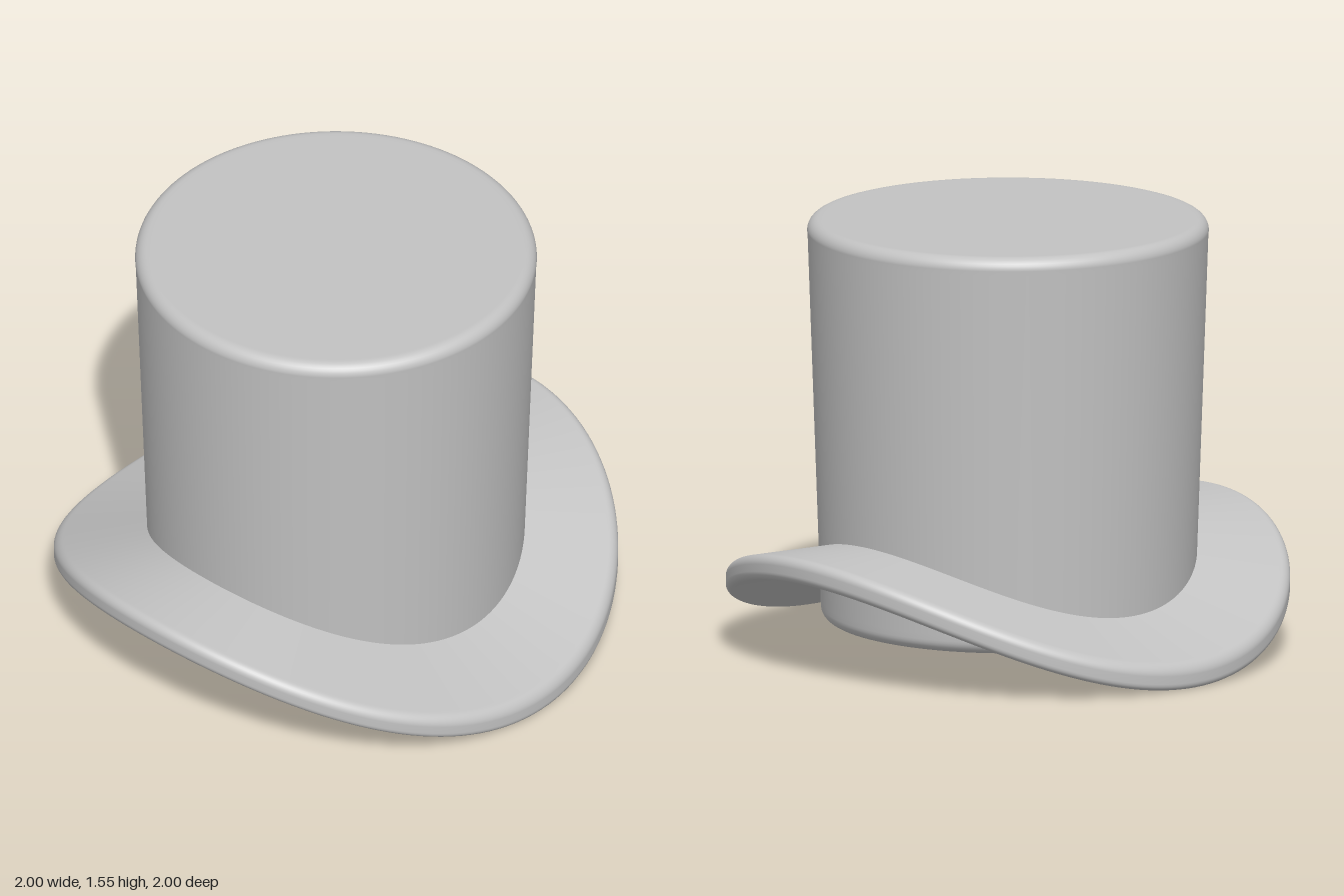
import * as THREE from 'three';
import { mergeVertices } from 'three/addons/utils/BufferGeometryUtils.js';

const felt = new THREE.MeshStandardMaterial({ color: 0xc2c2c2 });
felt.name = 'grey felt';

// Quarter-circle of profile points between two angles (radians)
function fillet(cx, cy, r, from, to, steps = 8) {
  return Array.from({ length: steps + 1 }, (_, i) => {
    const a = from + ((to - from) * i) / steps;
    return new THREE.Vector2(cx + r * Math.cos(a), cy + r * Math.sin(a));
  });
}

// Tall crown, slightly wider at the top, closed at both ends
function makeCrown() {
  const r = 0.045, bottom = 0.115, top = 1.562;
  const profile = [
    new THREE.Vector2(0, bottom),
    new THREE.Vector2(0.61, bottom),
    ...fillet(0.663 - r, bottom + r, r, -Math.PI / 2, 0),
    new THREE.Vector2(0.664, 0.18),
    new THREE.Vector2(0.71, 1.5),
    ...fillet(0.712 - r, top - r, r, 0, Math.PI / 2),
    new THREE.Vector2(0.655, top),
    new THREE.Vector2(0, top),
  ];
  return new THREE.LatheGeometry(profile, 128);
}

// Round brim whose two sides droop in straight lines from the crown
function makeBrim() {
  const inner = 0.55, thick = 0.091, r = 0.032, droop = 0.365;
  const profile = [];
  for (let i = 0; i <= 10; i++) profile.push(new THREE.Vector2(inner + (0.96 - inner) * i / 10, 0));
  profile.push(...fillet(1 - r, r, r, -Math.PI / 2, 0), ...fillet(1 - r, thick - r, r, 0, Math.PI / 2));
  for (let i = 10; i >= 0; i--) profile.push(new THREE.Vector2(inner + (0.96 - inner) * i / 10, thick));

  let geo = new THREE.LatheGeometry(profile, 160);
  geo.deleteAttribute('uv');
  geo.deleteAttribute('normal');
  geo = mergeVertices(geo, 1e-5);
  const p = geo.attributes.position;
  for (let i = 0; i < p.count; i++) {
    const x = p.getX(i), z = p.getZ(i), radius = Math.hypot(x, z);
    const slope = (droop * x * x) / (radius * radius);
    p.setY(i, 0.369 + p.getY(i) * Math.sqrt(1 + slope * slope) - slope * radius);
  }
  geo.computeVertexNormals();
  return geo;
}

export function createModel() {
  const hat = new THREE.Group();
  hat.name = 'topHat';
  const parts = { crown: makeCrown(), brim: makeBrim() };
  for (const [name, geometry] of Object.entries(parts)) {
    const mesh = new THREE.Mesh(geometry, felt);
    mesh.name = name;
    hat.add(mesh);
  }
  return hat;
}
